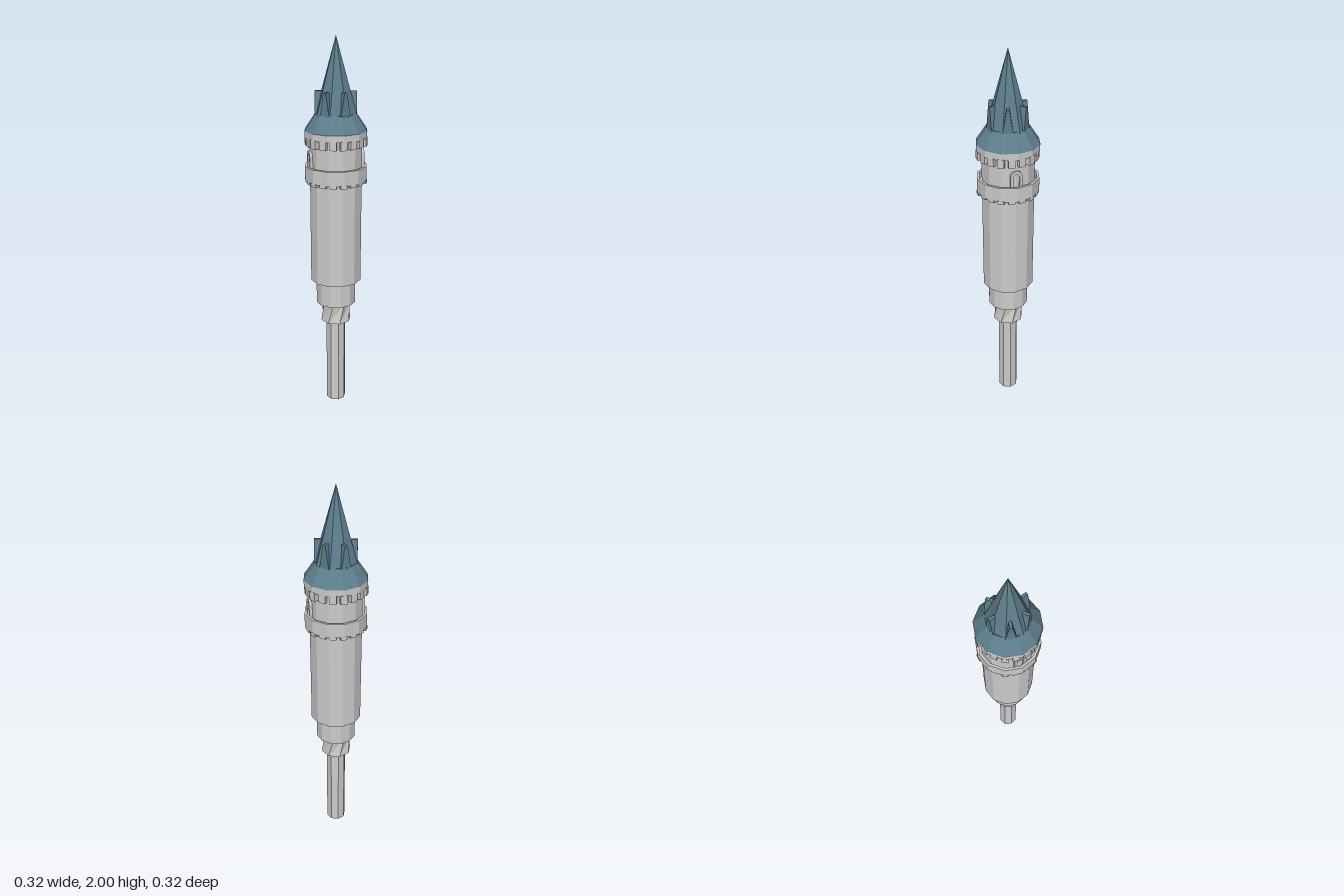
import * as THREE from 'three';

const stone = new THREE.MeshStandardMaterial({ color: 0xcccccc, flatShading: true, side: THREE.DoubleSide });
const slate = new THREE.MeshStandardMaterial({ color: 0x5d7d8c, flatShading: true, side: THREE.DoubleSide });

export function createModel() {
  const model = new THREE.Group();

  const add = (name, geometry, material = stone, parent = model) => {
    const mesh = new THREE.Mesh(geometry, material);
    mesh.name = name;
    parent.add(mesh);
    return mesh;
  };

  // Faceted drum between two heights
  const drum = (name, y0, y1, r0, r1, sides, material) => {
    const g = new THREE.CylinderGeometry(r1, r0, y1 - y0, sides);
    return add(name, g.translate(0, (y0 + y1) / 2, 0), material);
  };

  // Ring turned from a closed [radius, height] profile
  const ring = (name, profile) =>
    add(name, new THREE.LatheGeometry(profile.map(([r, y]) => new THREE.Vector2(r, y)), 12));

  // Distance from the axis to a twelve-sided wall at a given angle
  const wallRadius = (angle, r) => {
    const step = Math.PI / 6;
    return r * Math.cos(step / 2) / Math.cos((angle % step) - step / 2);
  };

  // Blocks hanging below a ring
  const teeth = (name, count, y0, y1, width) => {
    const group = new THREE.Group();
    group.name = name;
    const depth = 0.026;
    for (let i = 0; i < count; i++) {
      const a = (i / count) * Math.PI * 2;
      const r = wallRadius(a, 0.16) - depth / 2;
      const tooth = add('corbel', new THREE.BoxGeometry(width, y1 - y0, depth), stone, group);
      tooth.position.set(Math.sin(a) * r, (y0 + y1) / 2, Math.cos(a) * r);
      tooth.rotation.y = a;
    }
    model.add(group);
  };

  // Stepped shaft
  drum('lowerColumn', 0, 0.5, 0.053, 0.053, 8);
  const neck = drum('twistedNeck', 0.49, 0.6, 0.082, 0.078, 8);
  const p = neck.geometry.attributes.position;
  const v = new THREE.Vector3();
  for (let i = 0; i < p.count; i++) {
    v.fromBufferAttribute(p, i);
    if (v.y > 0.55) v.applyAxisAngle(new THREE.Vector3(0, 1, 0), 0.35);
    p.setXYZ(i, v.x, v.y, v.z);
  }
  drum('collar', 0.6, 0.735, 0.107, 0.107, 12);
  drum('towerBody', 0.735, 1.53, 0.136, 0.136, 12);

  // Balcony with a recessed walkway
  ring('balcony', [[0.13, 1.285], [0.161, 1.285], [0.161, 1.36], [0.148, 1.36], [0.148, 1.325], [0.13, 1.325]]);
  teeth('balconyCorbels', 18, 1.272, 1.29, 0.034);

  // Crown under the roof
  ring('crown', [[0.13, 1.505], [0.161, 1.505], [0.161, 1.54], [0.13, 1.54]]);
  teeth('crownCorbels', 18, 1.465, 1.51, 0.034);

  // Arched doorways opening on to the balcony
  const arch = new THREE.Shape();
  arch.moveTo(-0.03, 0).lineTo(-0.03, 0.09).absarc(0, 0.09, 0.03, Math.PI, 0, true).lineTo(0.03, 0);
  const opening = new THREE.Path();
  opening.moveTo(-0.017, 0.002).lineTo(-0.017, 0.085).absarc(0, 0.085, 0.017, Math.PI, 0, true).lineTo(0.017, 0.002);
  arch.holes.push(opening);
  for (const side of [1, -1]) {
    const frame = add(side > 0 ? 'leftDoorway' : 'rightDoorway',
      new THREE.ExtrudeGeometry(arch, { depth: 0.02, bevelEnabled: false, curveSegments: 4 }));
    frame.position.set(side * 0.123, 1.322, 0);
    frame.rotation.y = side * Math.PI / 2;
  }

  // Roof skirt and spire
  drum('roofSkirt', 1.54, 1.625, 0.162, 0.105, 12, slate);
  const spire = add('spire', new THREE.ConeGeometry(0.109, 0.385, 8), slate);
  spire.position.y = 1.8075;
  spire.rotation.y = Math.PI / 12;

  // Gabled dormers around the spire
  const gable = new THREE.Shape();
  gable.moveTo(-0.026, 0).lineTo(-0.007, 0.115).lineTo(0.007, 0.115).lineTo(0.026, 0).closePath();
  const dormers = new THREE.Group();
  dormers.name = 'dormers';
  for (let i = 0; i < 6; i++) {
    const a = (i * 60 + 13) * Math.PI / 180;
    const g = new THREE.ExtrudeGeometry(gable, { depth: 0.05, bevelEnabled: false });
    const dormer = add('dormer', g, slate, dormers);
    dormer.position.set(Math.sin(a) * 0.054, 1.62, Math.cos(a) * 0.054);
    dormer.rotation.y = a;
  }
  model.add(dormers);

  return model;
}
